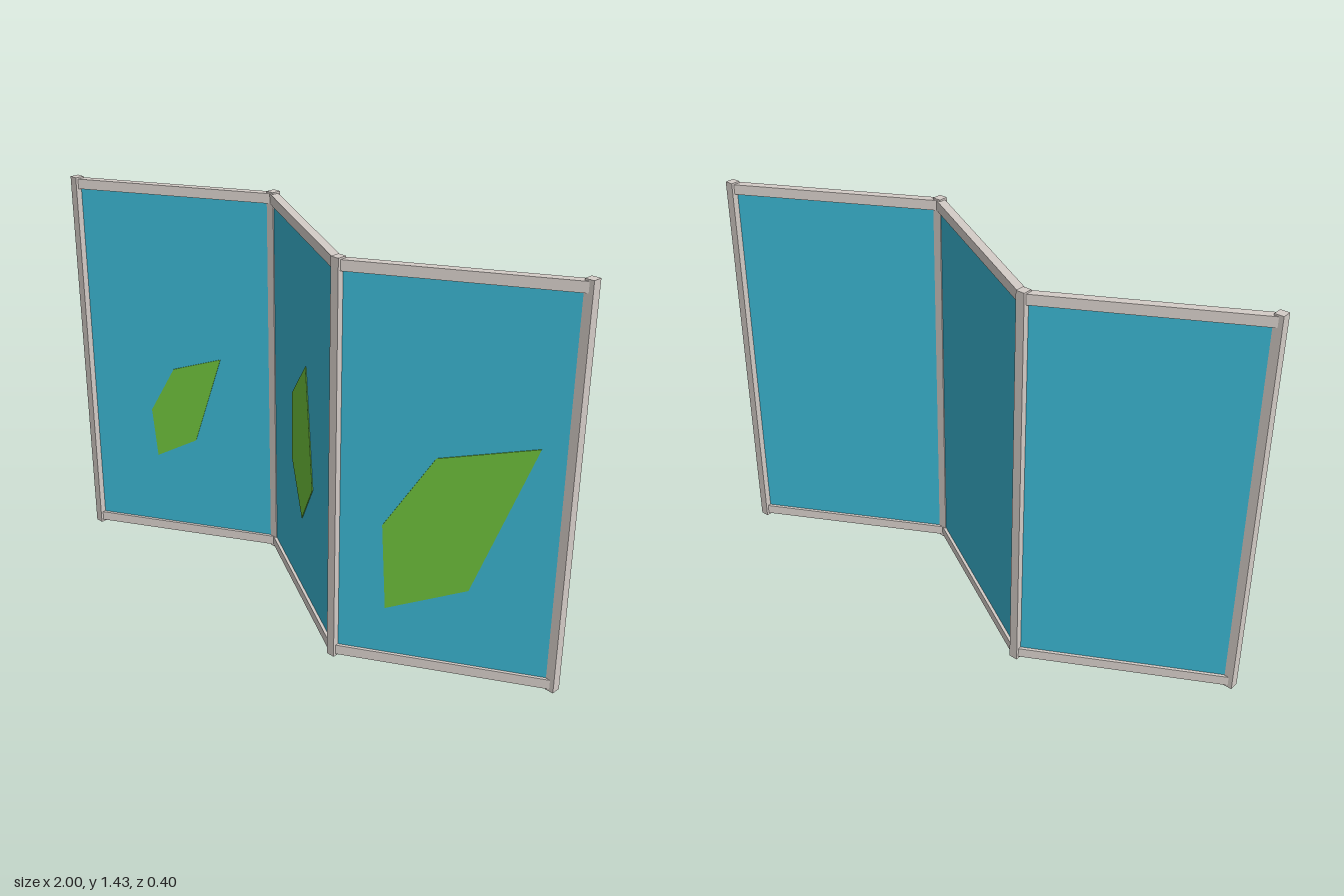
import * as THREE from 'three';

export function createModel() {
  const group = new THREE.Group();
  group.name = 'foldingScreen';
  const frame = new THREE.MeshStandardMaterial({ color: 0xd4ccc7 });
  frame.name = 'pale frame';
  const cloth = new THREE.MeshStandardMaterial({ color: 0x38b1cc });
  cloth.name = 'turquoise cloth';
  const leaf = new THREE.MeshStandardMaterial({ color: 0x6cbc3a });
  leaf.name = 'leaf green';

  const height = 1.43;
  const corners = [[-0.984, 0.183], [-0.333, -0.183], [0.333, 0.183], [0.984, -0.183]];

  // leaf outlines: across (x) and up (y)
  const leaves = [
    [[-0.75, 0.335], [-0.61, 0.42], [-0.515, 0.77], [-0.68, 0.71], [-0.765, 0.53]],
    [[0, 0.33], [0.115, 0.51], [0.04, 0.94], [-0.11, 0.77], [-0.11, 0.51]],
    [[0.49, 0.22], [0.73, 0.335], [0.9, 0.875], [0.62, 0.8], [0.475, 0.535]],
  ];

  const add = (parent, name, geometry, material, x, y, z) => {
    const mesh = new THREE.Mesh(geometry, material);
    mesh.name = name;
    mesh.position.set(x, y, z);
    parent.add(mesh);
  };

  // upright posts at the folds and ends
  for (const [x, z] of corners) {
    add(group, 'post', new THREE.BoxGeometry(0.032, height, 0.034), frame, x, height / 2, z);
  }

  // three zigzag panels, each with rails, cloth and a leaf
  leaves.forEach((outline, i) => {
    const [x0, z0] = corners[i];
    const [x1, z1] = corners[i + 1];
    const length = Math.hypot(x1 - x0, z1 - z0);
    const angle = Math.atan2(z0 - z1, x1 - x0);
    const cx = (x0 + x1) / 2;
    const panel = new THREE.Group();
    panel.name = 'panel';
    panel.position.set(cx, 0, (z0 + z1) / 2);
    panel.rotation.y = angle;
    group.add(panel);

    add(panel, 'bottomRail', new THREE.BoxGeometry(length, 0.036, 0.03), frame, 0, 0.026, 0);
    add(panel, 'topRail', new THREE.BoxGeometry(length, 0.036, 0.03), frame, 0, 1.406, 0);
    add(panel, 'cloth', new THREE.BoxGeometry(length, 1.36, 0.008), cloth, 0, 0.716, 0);

    // thin leaf plate on the front of the cloth
    const front = 0.007;
    const points = outline.map(([x, y]) =>
      new THREE.Vector2((x - cx - front * Math.sin(angle)) / Math.cos(angle), y));
    const plate = new THREE.ExtrudeGeometry(new THREE.Shape(points), { depth: 0.003, bevelEnabled: false });
    add(panel, 'leaf', plate, leaf, 0, 0, front - 0.003);
  });

  return group;
}
